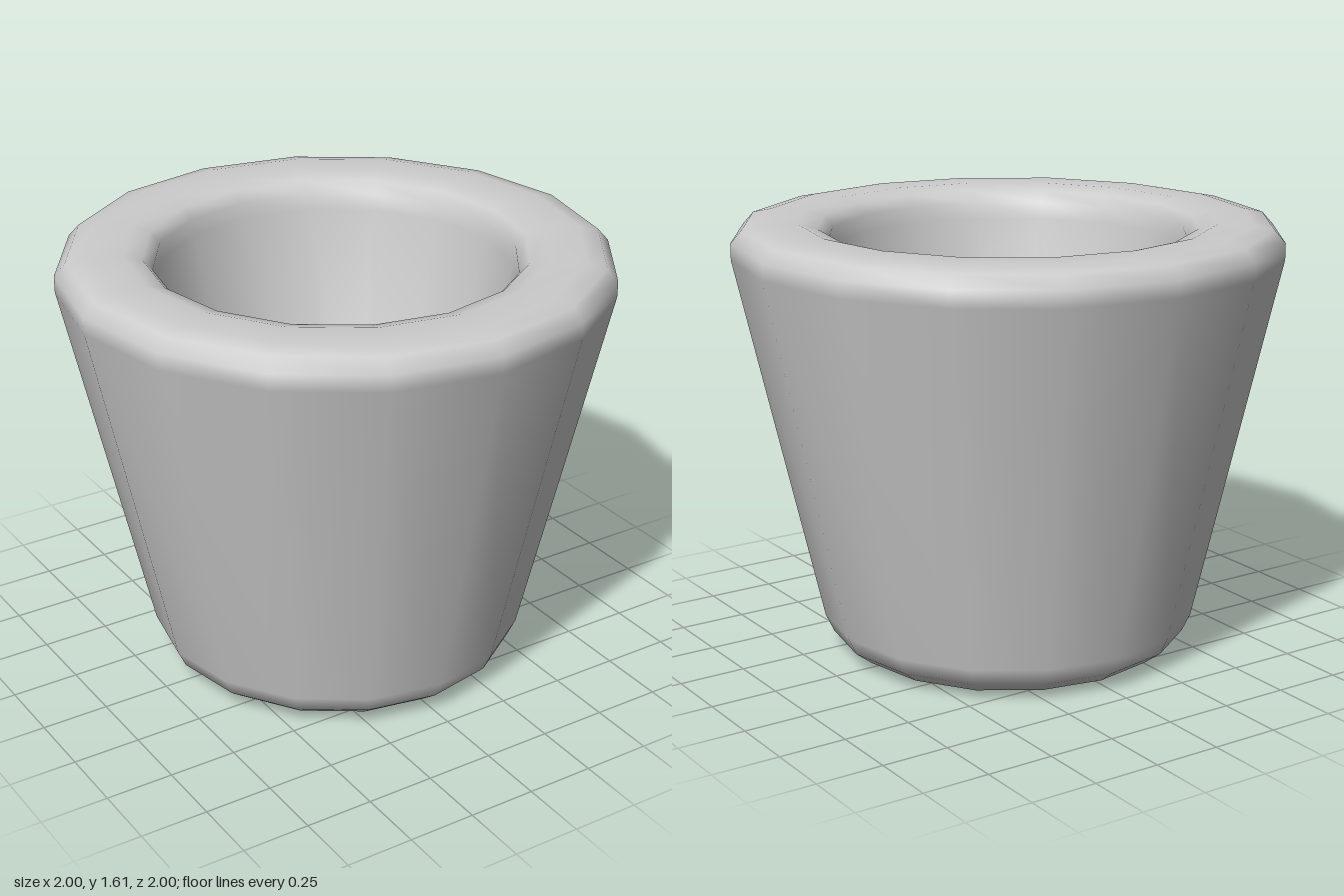
import * as THREE from 'three';
import { mergeVertices } from 'three/addons/utils/BufferGeometryUtils.js';

const SIDES = 16;

export function createModel() {
  const group = new THREE.Group();
  group.name = 'pot';

  // Cross-section as [radius, height], from the underside round to the inner floor
  const profile = [
    // underside and rounded foot
    [0, 0], [0.53, 0], [0.60, 0.016], [0.665, 0.065], [0.695, 0.13],
    // tapered outer wall and rounded rim
    [1, 1.49], [1, 1.55], [0.96, 1.595], [0.89, 1.61],
    [0.76, 1.61], [0.69, 1.59], [0.655, 1.55], [0.65, 1.49],
    // inner wall and floor
    [0.4, 0.32], [0, 0.32],
  ].map(([r, y]) => new THREE.Vector2(r, y));

  // Weld the seam and use area-weighted smooth normals
  let geometry = new THREE.LatheGeometry(profile, SIDES);
  geometry.deleteAttribute('uv');
  geometry.deleteAttribute('normal');
  geometry = mergeVertices(geometry, 1e-4);
  geometry.computeVertexNormals();

  const body = new THREE.Mesh(geometry, new THREE.MeshStandardMaterial({ color: 0xcccccc }));
  body.name = 'potBody';
  group.add(body);
  return group;
}
